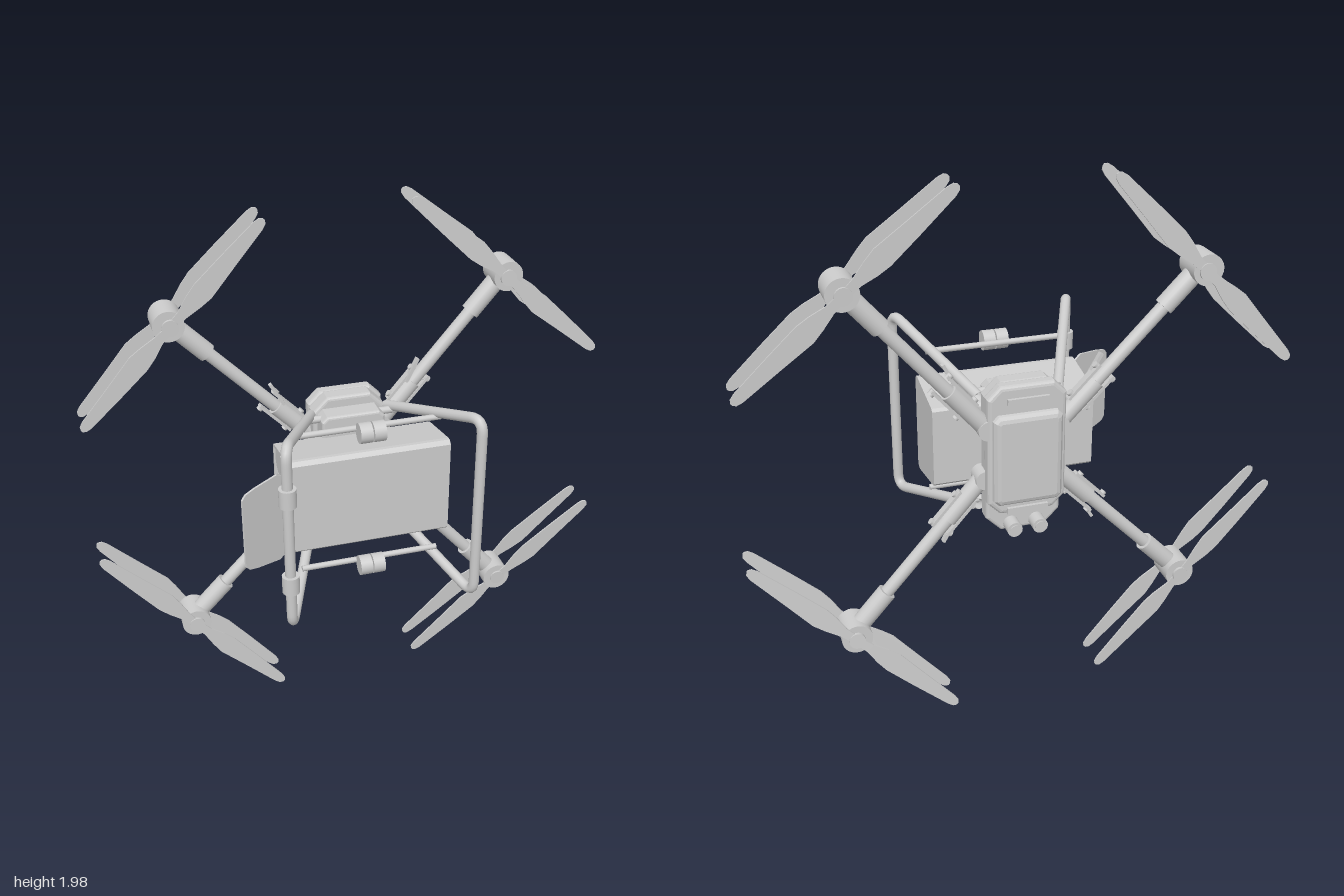
import * as THREE from 'three';

const mat = new THREE.MeshStandardMaterial({ color: 0xcccccc, side: THREE.DoubleSide });
const V = (x, y, z) => new THREE.Vector3(x, y, z);

function add(parent, name, geo, x = 0, y = 0, z = 0) {
  const m = new THREE.Mesh(geo, mat);
  m.name = name;
  m.position.set(x, y, z);
  parent.add(m);
  return m;
}

// Cylinder between two points
function rod(parent, name, a, b, r, seg = 20) {
  const d = b.clone().sub(a);
  const m = add(parent, name, new THREE.CylinderGeometry(r, r, d.length(), seg));
  m.position.copy(a).addScaledVector(d, 0.5);
  m.quaternion.setFromUnitVectors(V(0, 1, 0), d.normalize());
  return m;
}

const shapeOf = pts => new THREE.Shape(pts.map(p => new THREE.Vector2(...p)));

// Rectangle with cut corners
function cutRect(x0, x1, y0, y1, c) {
  return [[x0 + c, y0], [x1 - c, y0], [x1, y0 + c], [x1, y1 - c],
    [x1 - c, y1], [x0 + c, y1], [x0, y1 - c], [x0, y0 + c]];
}

// Slab from z0 to z1 whose bevel stays inside the outline
function slab(pts, z0, z1, size = 0.012, thick = size) {
  const g = new THREE.ExtrudeGeometry(shapeOf(pts), {
    depth: z1 - z0 - 2 * thick, bevelEnabled: size > 0, bevelSize: size,
    bevelThickness: thick, bevelOffset: -size, bevelSegments: 3,
  });
  return g.translate(0, 0, z0 + thick);
}

function createBody() {
  const g = new THREE.Group();
  g.name = 'body';
  add(g, 'lowerHull', slab(cutRect(-0.145, 0.13, 0.7, 1.28, 0.055), -0.245, -0.175));
  add(g, 'upperHull', slab(cutRect(-0.15, 0.135, 0.79, 1.28, 0.045), -0.285, -0.23, 0.015));
  add(g, 'raisedCover', slab(cutRect(-0.135, 0.12, 0.83, 1.18, 0.02), -0.312, -0.24, 0.025, 0.032));
  add(g, 'bellyBlock', slab(cutRect(-0.13, 0.108, 0.77, 1.24, 0.02), -0.19, -0.1, 0.01));
  // End grips
  for (const y of [0.805, 1.225]) {
    add(g, 'endGrip', new THREE.BoxGeometry(0.15, 0.022, 0.02), -0.008, y, -0.287);
  }
  // Sensor barrels on the nose
  for (const x of [-0.055, 0.04]) {
    rod(g, 'sensor', V(x, 0.727, -0.22), V(x, 0.727, -0.3), 0.028);
    rod(g, 'sensorLens', V(x, 0.727, -0.3), V(x, 0.727, -0.304), 0.019);
  }
  return g;
}

// Half blade outline as [radius, lower edge, upper edge]
const BLADE = [[0.02, 0.016, 0.016], [0.06, 0.02, 0.016], [0.12, 0.034, 0.03], [0.17, 0.042, 0.036],
  [0.3, 0.032, 0.03], [0.46, 0.021, 0.02], [0.482, 0.015, 0.014], [0.49, 0.004, 0.004]];

function createRotor(a, b) {
  const g = new THREE.Group();
  g.name = 'rotor';
  const u = b.clone().sub(a).normalize();
  const v = V(0, 0, 1).cross(u).normalize();
  g.quaternion.setFromRotationMatrix(new THREE.Matrix4().makeBasis(u, v, u.clone().cross(v)));
  g.position.copy(a).add(b).multiplyScalar(0.5);
  const pts = [...BLADE.map(p => [p[0], -p[1]]), ...BLADE.map(p => [p[0], p[2]]).reverse()];
  for (const s of [0, 1]) {
    const m = add(g, 'blade', slab(pts, -0.003, 0.003, 0));
    m.rotation.z = s * Math.PI;
  }
  rod(g, 'hub', V(0, 0, -0.008), V(0, 0, 0.008), 0.03);
  return g;
}

function createArm(inner, motor, sy) {
  const g = new THREE.Group();
  g.name = 'arm';
  g.position.copy(inner);
  g.rotation.z = Math.atan2(motor.y - inner.y, motor.x - inner.x);
  const L = Math.hypot(motor.x - inner.x, motor.y - inner.y);
  rod(g, 'armTube', V(0, 0, 0), V(L, 0, 0), 0.024);
  rod(g, 'motorCollar', V(L - 0.19, 0, 0), V(L - 0.04, 0, 0), 0.035);
  rod(g, 'rootSleeve', V(0, 0, 0), V(0.2, 0, 0), 0.032);
  rod(g, 'hinge', V(0, 0, -0.035), V(0, 0, 0.035), 0.036);
  // Folding latch and its pins
  for (const s of [-1, 1]) {
    add(g, 'latchPlate', new THREE.BoxGeometry(0.16, 0.01, 0.03), 0.17, s * 0.036, 0);
    for (const x of [0.11, 0.24]) rod(g, 'latchPin', V(x, s * 0.03, 0), V(x, s * 0.05, 0), 0.012, 12);
  }
  const lever = add(g, 'latchLever', new THREE.BoxGeometry(0.1, 0.012, 0.02), 0.235, 0.04 * sy, 0.012);
  lever.rotation.z = 0.25 * sy;
  return g;
}

// Each entry: motor centre, arm root, two blade tips at the upper rotor
const ROTORS = [
  [V(-0.64, 1.625, -0.247), V(-0.13, 1.1, -0.245), V(-0.97, 1.27, -0.322), V(-0.3, 1.975, -0.29)],
  [V(0.605, 1.67, -0.247), V(0.13, 1.12, -0.245), V(0.24, 1.985, -0.322), V(0.965, 1.35, -0.29)],
  [V(-0.64, 0.39, -0.207), V(-0.13, 0.91, -0.207), V(-0.97, 0.745, -0.275), V(-0.31, 0.03, -0.258)],
  [V(0.62, 0.355, -0.207), V(0.13, 0.91, -0.207), V(0.975, 0.69, -0.227), V(0.27, 0.02, -0.314)],
];

function createLauncher() {
  const g = new THREE.Group();
  g.name = 'payloadBox';
  const cy = 1.005;
  // Tapered cross-section, first coordinate points to -z
  const half = k => [[-0.11, 0.175 - k], [-0.095, 0.188 - k], [-0.08, 0.188 - k], [0.12, 0.152 - k], [0.13, 0.142 - k]];
  const ring = (k, d) => {
    const h = half(k).map(([s, y]) => [THREE.MathUtils.clamp(s, -0.11 + d, 0.13 - d), y]);
    return [...h.map(([s, y]) => [s, -y]), ...h.reverse()];
  };
  const tunnel = (x0, x1, hollow) => {
    const s = shapeOf(ring(0, 0));
    if (hollow) s.holes.push(new THREE.Path(ring(0.012, 0.01).map(p => new THREE.Vector2(...p))));
    const m = add(g, hollow ? 'boxShell' : 'boxCore', new THREE.ExtrudeGeometry(s, { depth: x1 - x0, bevelEnabled: false }), x0, cy, 0);
    m.rotation.y = Math.PI / 2;
  };
  tunnel(-0.31, -0.2, true);
  tunnel(-0.2, 0.29, false);
  // Six capped barrels in the open end
  for (const z of [-0.062, 0.045]) {
    for (const i of [-1, 0, 1]) {
      rod(g, 'barrel', V(-0.306, cy + i * 0.106, z), V(-0.2, cy + i * 0.106, z), 0.05, 28);
    }
  }
  // Opened lid
  const edge = [[0, 0.14], [-0.06, 0.175], [-0.16, 0.162], [-0.2, 0.152], [-0.215, 0.135]];
  const lid = add(g, 'lid', slab([...edge, ...edge.map(([x, y]) => [x, -y]).reverse()], -0.004, 0.004, 0), -0.305, cy, 0.11);
  lid.rotation.y = 0.485;
  return g;
}

// Tube through corner points with rounded bends
function bentTube(parent, name, pts, r, bend) {
  const path = new THREE.CurvePath();
  let last = pts[0];
  for (let i = 1; i < pts.length - 1; i++) {
    const p = pts[i];
    const a = p.clone().addScaledVector(pts[i - 1].clone().sub(p).normalize(), bend);
    const b = p.clone().addScaledVector(pts[i + 1].clone().sub(p).normalize(), bend);
    path.add(new THREE.LineCurve3(last, a));
    path.add(new THREE.QuadraticBezierCurve3(a, p, b));
    last = b;
  }
  path.add(new THREE.LineCurve3(last, pts[pts.length - 1]));
  add(parent, name, new THREE.TubeGeometry(path, 120, r, 14));
}

function createLandingGear() {
  const g = new THREE.Group();
  g.name = 'landingGear';
  for (const [x0, x1] of [[0.14, 0.33], [-0.15, -0.355]]) {
    bentTube(g, 'legLoop', [V(x0, 1.215, -0.19), V(x1, 1.37, 0.295), V(x1, 0.64, 0.295), V(x0, 0.79, -0.19)], 0.019, 0.06);
  }
  for (const y of [0.83, 1.18]) rod(g, 'legClamp', V(-0.355, y - 0.034, 0.295), V(-0.355, y + 0.034, 0.295), 0.031);
  // Cross bars, each carrying a twin lamp
  for (const y of [0.733, 1.287]) {
    rod(g, 'crossBar', V(-0.265, y, 0.085), V(0.255, y, 0.085), 0.011, 12);
    for (const x of [-0.037, 0.012]) rod(g, 'lamp', V(x - 0.022, y, 0.125), V(x + 0.022, y, 0.125), 0.037, 24);
    rod(g, 'lampAxle', V(-0.05, y, 0.125), V(0.025, y, 0.125), 0.02);
    const ym = y > 1 ? 1.215 : 0.79;
    rod(g, 'mountBar', V(-0.17, ym, -0.15), V(0.16, ym, -0.15), 0.014, 12);
  }
  return g;
}

export function createModel() {
  const root = new THREE.Group();
  root.name = 'quadcopter';
  root.add(createBody(), createLauncher(), createLandingGear());
  for (const [motor, inner, a, b] of ROTORS) {
    root.add(createArm(inner, motor, Math.sign(motor.x) * Math.sign(motor.y - 1)));
    rod(root, 'motor', motor.clone().add(V(0, 0, -0.058)), motor.clone().add(V(0, 0, 0.058)), 0.056, 32);
    const drop = V(0, 0, 0.12);
    root.add(createRotor(a, b), createRotor(a.clone().add(drop), b.clone().add(drop)));
  }
  return root;
}
